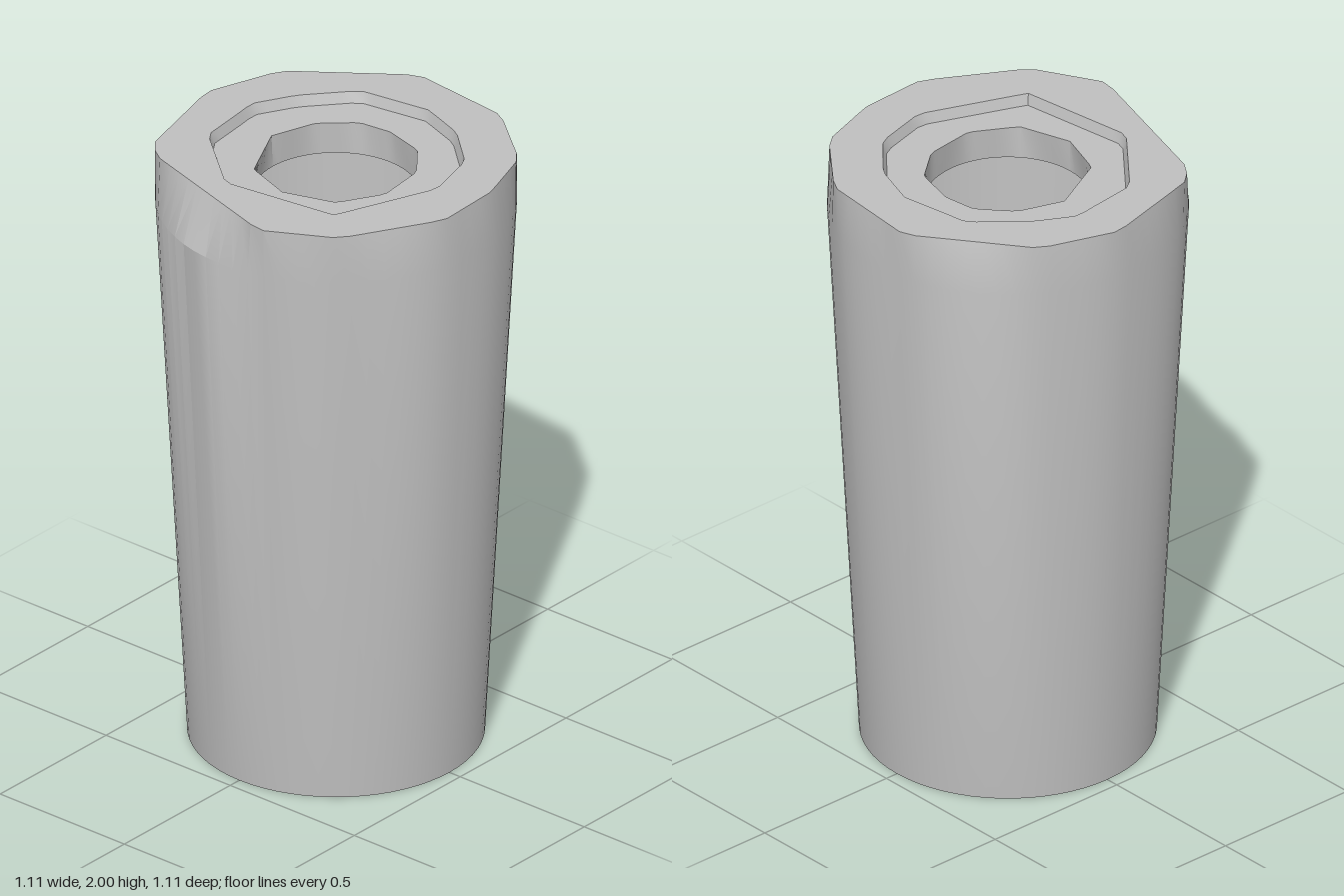
import * as THREE from 'three';
import { toCreasedNormals } from 'three/addons/utils/BufferGeometryUtils.js';

const SEGMENTS = 64;

// Radius of a convex-ish outline (x, z corners around the axis) at a given angle
function outline(corners) {
  return (angle) => {
    const dx = Math.cos(angle), dz = Math.sin(angle);
    for (let i = 0; i < corners.length; i++) {
      const [ax, az] = corners[i];
      const [bx, bz] = corners[(i + 1) % corners.length];
      const ex = bx - ax, ez = bz - az;
      const det = dx * ez - dz * ex;
      if (Math.abs(det) < 1e-9) continue;
      const r = (ax * ez - az * ex) / det;
      const t = (ax * dz - az * dx) / det;
      if (r > 0 && t >= -1e-6 && t <= 1 + 1e-6) return r;
    }
    return 0.3;
  };
}

const circle = (r) => () => r;

// Skin a series of [radius function, height] rings
function loft(rings, crease) {
  const positions = [], index = [];
  for (const [radius, y] of rings) {
    for (let i = 0; i < SEGMENTS; i++) {
      const a = (i / SEGMENTS) * Math.PI * 2;
      const r = radius(a);
      positions.push(r * Math.cos(a), y, r * Math.sin(a));
    }
  }
  for (let k = 0; k < rings.length - 1; k++) {
    for (let i = 0; i < SEGMENTS; i++) {
      const j = (i + 1) % SEGMENTS;
      const a = k * SEGMENTS + i, b = k * SEGMENTS + j;
      const c = a + SEGMENTS, d = b + SEGMENTS;
      index.push(a, c, d, a, d, b);
    }
  }
  const geometry = new THREE.BufferGeometry();
  geometry.setAttribute('position', new THREE.Float32BufferAttribute(positions, 3));
  geometry.setIndex(index);
  return toCreasedNormals(geometry, crease);
}

export function createModel() {
  const group = new THREE.Group();
  group.name = 'taperedSleeve';
  const grey = new THREE.MeshStandardMaterial({ color: 0xbfbfbf });
  grey.name = 'light grey';

  // Chipped outer edge of the top, edge of the dish and edge of the hole
  const rimEdge = outline([
    [0.54, 0.12], [0.37, 0.42], [0.15, 0.54], [-0.41, 0.375], [-0.465, 0.31],
    [-0.555, -0.04], [-0.47, -0.29], [-0.13, -0.545], [0.23, -0.51],
    [0.455, -0.33], [0.53, -0.11],
  ]);
  const dishEdge = outline([
    [0.39, -0.02], [0.26, 0.315], [-0.13, 0.37], [-0.37, 0.17], [-0.39, 0],
    [-0.4, -0.07], [-0.33, -0.2], [-0.2, -0.35], [0.04, -0.39], [0.2, -0.335],
    [0.34, -0.21],
  ]);
  const holeEdge = outline([
    [0.25, 0.06], [0.17, 0.2], [0, 0.255], [-0.16, 0.2], [-0.26, 0],
    [-0.21, -0.15], [-0.11, -0.24], [0, -0.255], [0.14, -0.22], [0.23, -0.11],
  ]);

  const add = (name, rings, crease = 0.5) => {
    const mesh = new THREE.Mesh(loft(rings, crease), grey);
    mesh.name = name;
    group.add(mesh);
  };

  // Tapered outside with a softened shoulder
  add('outerWall', [[circle(0.457), 0], [circle(0.555), 1.84], [rimEdge, 2]]);
  // Flat top, shallow dish and short neck
  add('topRim', [[rimEdge, 2], [dishEdge, 2]]);
  add('dish', [[dishEdge, 2], [(a) => dishEdge(a) * 0.97, 1.965], [holeEdge, 1.965]]);
  add('neck', [[holeEdge, 1.965], [circle(0.255), 1.86]]);
  // Hollow inside, open at the bottom
  add('cavity', [[circle(0.255), 1.86], [circle(0.5), 1.86], [circle(0.42), 0]]);
  add('bottomRim', [[circle(0.42), 0], [circle(0.457), 0]]);

  return group;
}
